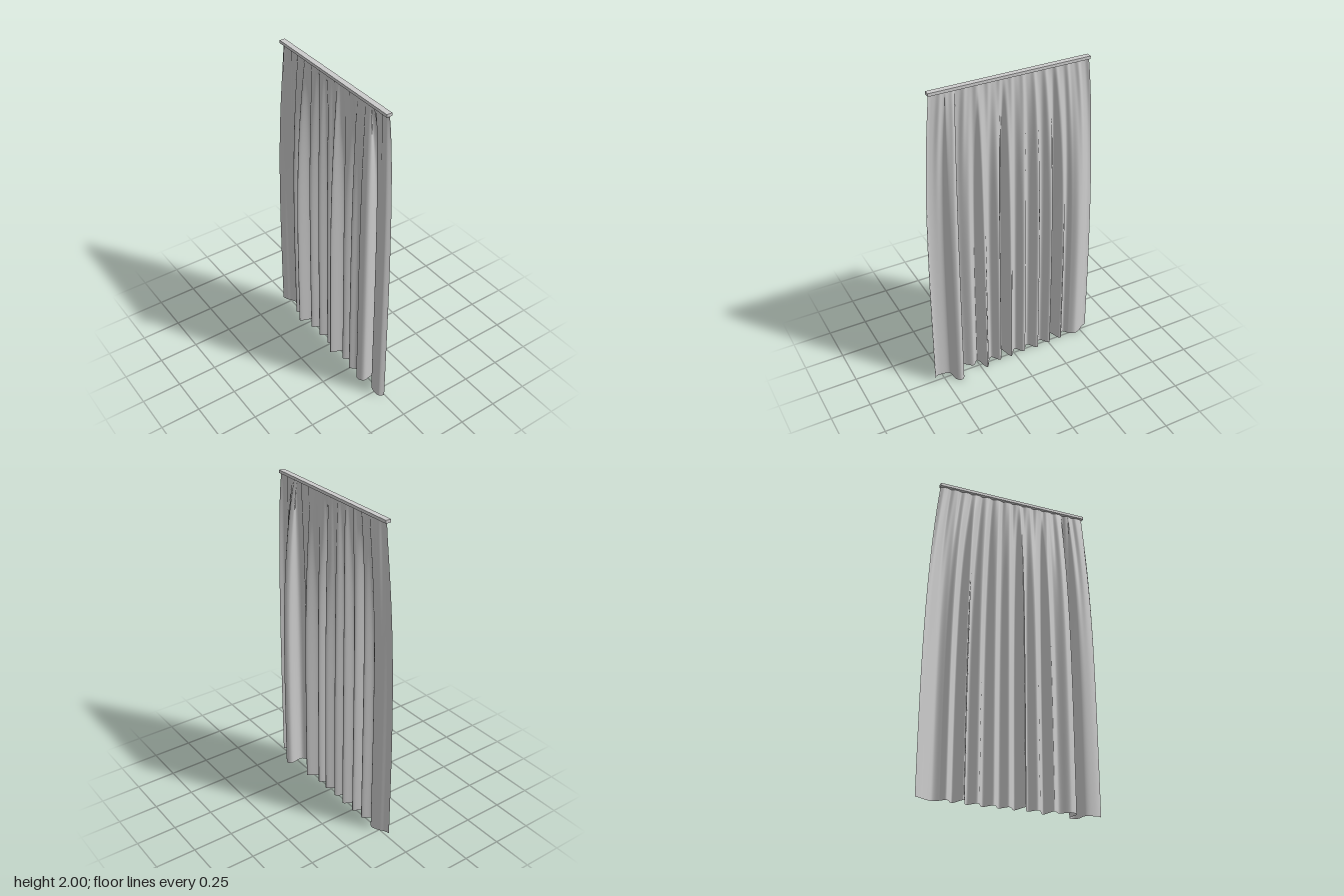
import * as THREE from 'three';

const RAIL_Y = 1.985;
const LEFT = -0.475, RIGHT = 0.5, PLEATS = 14;

// Hem line seen from above, as [x, z] from one side edge to the other
const HEM = [
  [-0.56, 0.026], [-0.53, 0.016], [-0.5, -0.004], [-0.45, -0.022], [-0.415, 0.0],
  [-0.385, 0.032], [-0.34, -0.017], [-0.3, 0.063], [-0.255, -0.02], [-0.205, 0.03],
  [-0.16, -0.027], [-0.11, 0.03], [-0.065, -0.02], [-0.02, 0.028], [0.03, -0.022],
  [0.062, 0.064], [0.108, -0.02], [0.155, 0.03], [0.215, -0.042], [0.245, 0.046],
  [0.285, 0.015], [0.345, 0.057], [0.388, 0.036], [0.384, -0.05], [0.41, -0.069],
  [0.438, -0.045], [0.45, 0.02], [0.5, 0.038], [0.54, 0.034], [0.56, 0.004],
];

// Cloth that hangs from evenly pinched pleats and relaxes into loose folds
function clothGeometry(cols, rows) {
  const hem = new THREE.CatmullRomCurve3(HEM.map(([x, z]) => new THREE.Vector3(x, 0, z)), false, 'centripetal');
  const pos = [], index = [];
  for (let r = 0; r <= rows; r++) {
    const t = Math.pow(r / rows, 1.6);               // 0 at the rail, 1 at the hem
    for (let c = 0; c <= cols; c++) {
      const p = hem.getPoint(c / cols);
      const s = (p.x + 0.56) / 1.12;
      const topX = THREE.MathUtils.lerp(LEFT, RIGHT, s);
      const loose = 1 - Math.pow(1 - t, 3 + s);
      const pinch = Math.pow(Math.abs(Math.cos(Math.PI * PLEATS * s)), 5);
      const depth = (0.009 + 0.16 * t) * Math.exp(-9 * t);
      pos.push(
        THREE.MathUtils.lerp(topX, p.x, loose),
        RAIL_Y * (1 - t),
        THREE.MathUtils.lerp(0.014, p.z, loose) - pinch * depth,
      );
      if (r < rows && c < cols) {
        const a = r * (cols + 1) + c, b = a + cols + 1;
        index.push(a, b, a + 1, a + 1, b, b + 1);
      }
    }
  }
  const geo = new THREE.BufferGeometry();
  geo.setAttribute('position', new THREE.Float32BufferAttribute(pos, 3));
  geo.setIndex(index);
  geo.computeVertexNormals();
  return geo;
}

export function createModel() {
  const group = new THREE.Group();
  group.name = 'curtain';

  // Pleated cloth
  const cloth = new THREE.Mesh(
    clothGeometry(348, 48),
    new THREE.MeshStandardMaterial({ color: 0xcccccc, side: THREE.DoubleSide }),
  );
  cloth.name = 'pleatedCloth';
  group.add(cloth);

  // Flat rail along the top
  const rail = new THREE.Mesh(
    new THREE.BoxGeometry(0.985, 0.018, 0.034),
    new THREE.MeshStandardMaterial({ color: 0xcccccc }),
  );
  rail.name = 'rail';
  rail.position.set(0.013, 1.991, 0.011);
  group.add(rail);

  return group;
}
